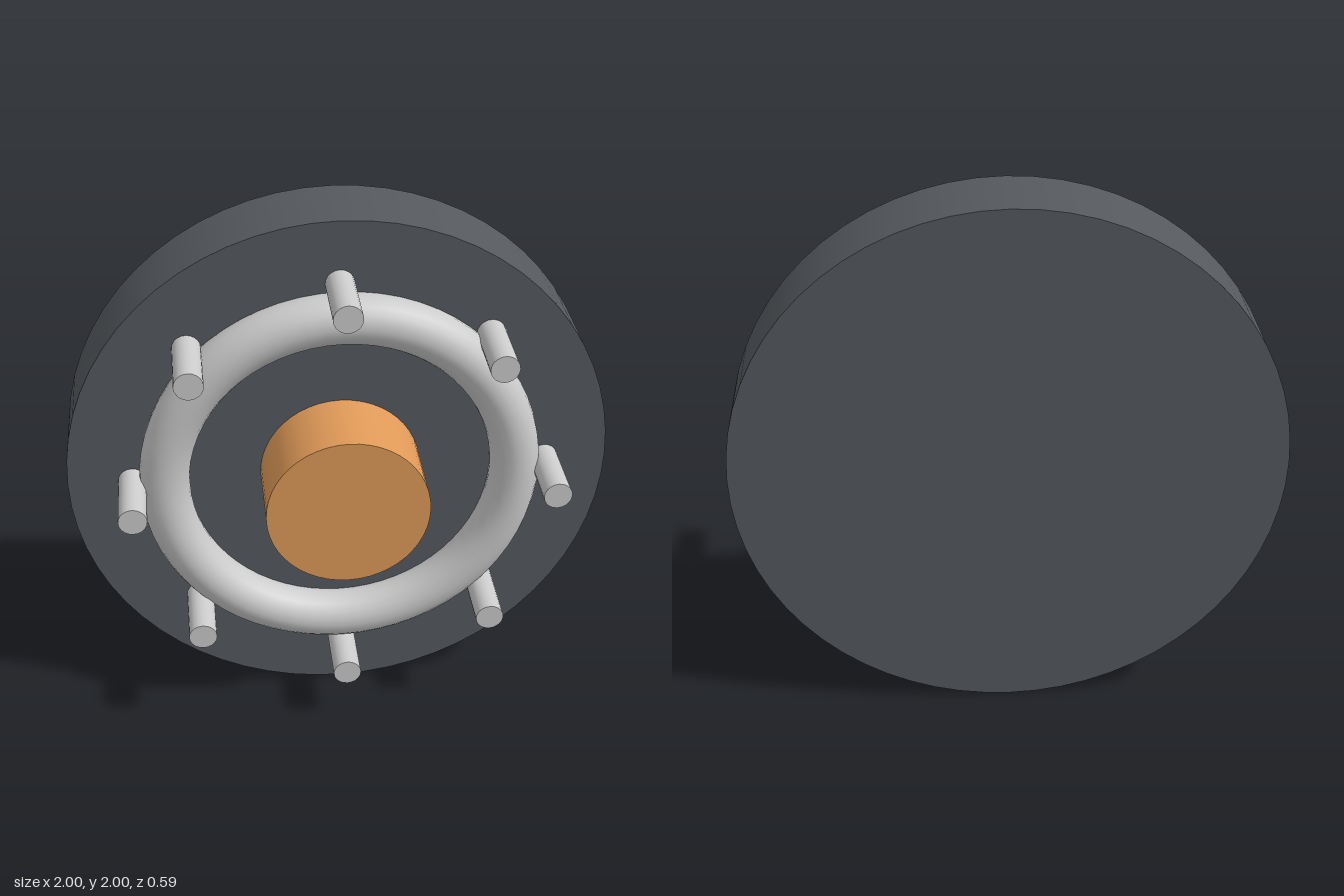
import * as THREE from 'three';

const material = (color) => new THREE.MeshStandardMaterial({ color });

// Cylinder lying along z between two depths
function rod(name, radius, z0, z1, segments, mat) {
  const geometry = new THREE.CylinderGeometry(radius, radius, z1 - z0, segments);
  geometry.rotateX(Math.PI / 2);
  geometry.translate(0, 0, (z0 + z1) / 2);
  const mesh = new THREE.Mesh(geometry, mat);
  mesh.name = name;
  return mesh;
}

export function createModel() {
  const model = new THREE.Group();
  model.name = 'wheelHub';
  const grey = material(0xcccccc);

  // All parts share one axis, raised so the disc stands on the ground
  const wheel = new THREE.Group();
  wheel.name = 'wheel';
  wheel.position.y = 1;
  model.add(wheel);

  // Backing disc and central hub
  wheel.add(rod('disc', 1, -0.295, 0, 64, material(0x55595e)));
  wheel.add(rod('hub', 0.295, -0.01, 0.295, 48, material(0xe09a58)));

  // Raised ring, partly sunk into the disc
  const ring = new THREE.Mesh(new THREE.TorusGeometry(0.647, 0.092, 20, 64), grey);
  ring.name = 'ring';
  ring.position.z = 0.033;
  wheel.add(ring);

  // Eight studs around the ring
  const studs = new THREE.Group();
  studs.name = 'studs';
  for (let i = 0; i < 8; i++) {
    const angle = (i * Math.PI) / 4;
    const stud = rod('stud', 0.052, -0.01, 0.265, 20, grey);
    stud.position.set(0.765 * Math.cos(angle), 0.765 * Math.sin(angle), 0);
    studs.add(stud);
  }
  wheel.add(studs);

  return model;
}
